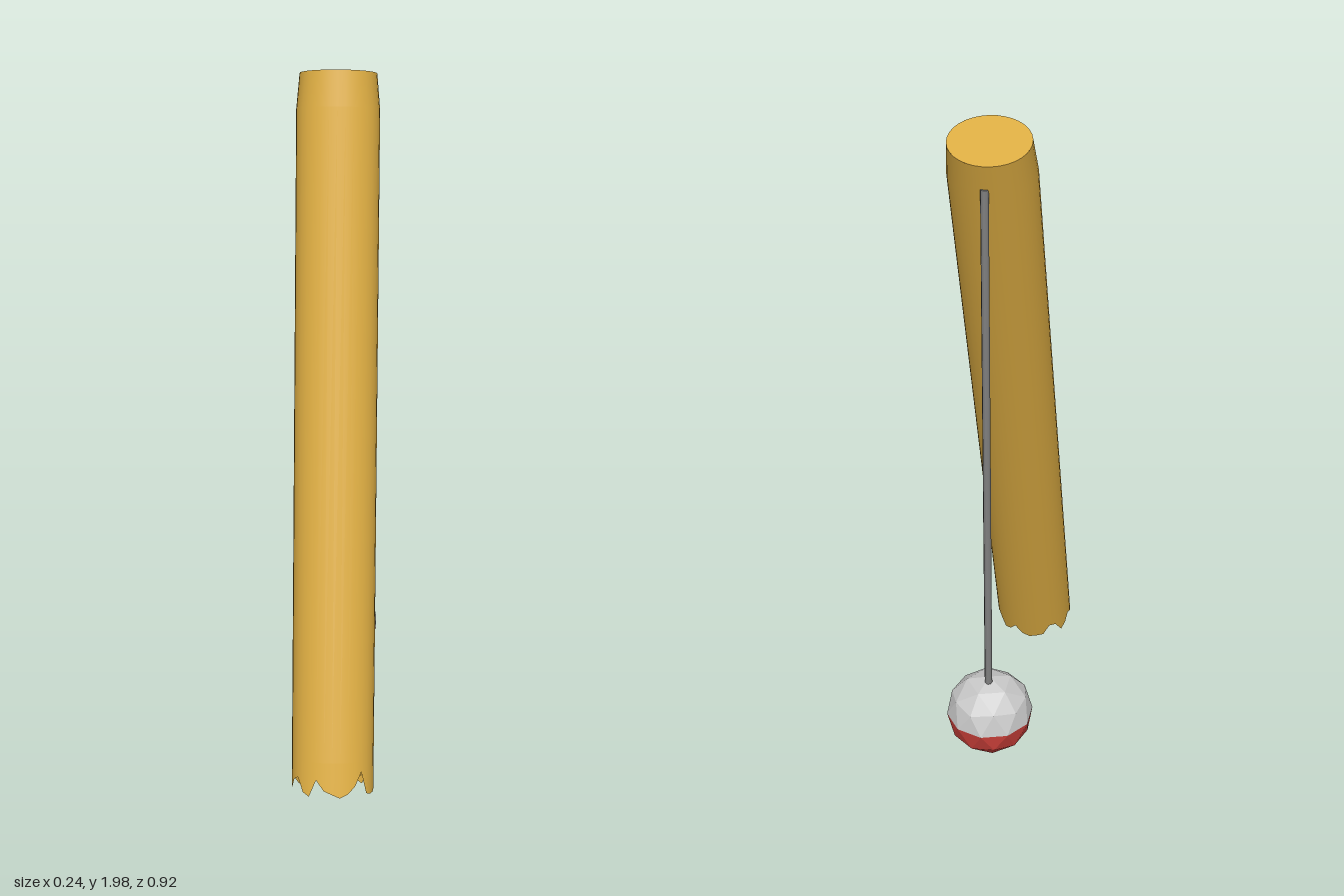
import * as THREE from 'three';

const SIDES = 32, LENGTH = 2.03, LEAN = -0.328;
// height of the splintered lower edge, going round from the front towards +x
const JAG = [0.01, 0, 0.01, 0.03, 0.07, 0.005, 0, 0, 0.005, 0.01, 0.045, 0.03, 0, 0.01, 0.04, 0.01,
  0, 0.005, 0.01, 0.05, 0.045, 0, 0.02, 0.05, 0.03, 0.01, 0.04, 0.05, 0.01, 0, 0.05, 0.02];

export function createModel() {
  const wood = new THREE.MeshStandardMaterial({ color: 0xdcac42 });
  const woodOpen = wood;
  woodOpen.side = THREE.DoubleSide;
  wood.name = 'wood';
  const make = (color, name) => {
    const m = new THREE.MeshStandardMaterial({ color });
    m.name = name;
    return m;
  };
  const cord = make(0x808080, 'cord grey');
  const pale = make(0xcacaca, 'pale grey');
  const red = make(0xcc403a, 'red');
  pale.flatShading = red.flatShading = true;

  const model = new THREE.Group();
  const add = (parent, name, geometry, material, x = 0, y = 0, z = 0) => {
    const mesh = new THREE.Mesh(geometry, material);
    mesh.name = name;
    mesh.position.set(x, y, z);
    parent.add(mesh);
    return mesh;
  };

  // leaning oval pole
  const pole = new THREE.Group();
  pole.name = 'pole';
  pole.position.set(0, 0.045, 0.3675);
  pole.rotation.x = LEAN;
  model.add(pole);

  // shaft wall: slightly narrowed top, broken lower rim
  const shaft = new THREE.CylinderGeometry(1, 1, 1, SIDES, 3, true).scale(0.117, 1, 0.097);
  const p = shaft.attributes.position;
  for (let i = 0; i < p.count; i++) {
    const row = Math.floor(i / (SIDES + 1));
    const col = (i % (SIDES + 1)) % SIDES;
    p.setY(i, [LENGTH, LENGTH - 0.1, 0.1, JAG[col]][row]);
    if (row === 0) {
      p.setX(i, p.getX(i) * 0.925);
      p.setZ(i, p.getZ(i) * 0.985);
    }
  }
  add(pole, 'shaft', shaft, woodOpen);

  // flat end on top and recessed end inside the broken rim
  const disc = (rx, rz, up) => new THREE.CircleGeometry(1, SIDES)
    .rotateX(up ? -Math.PI / 2 : Math.PI / 2).scale(rx, 1, rz);
  add(pole, 'topEnd', disc(0.1082, 0.0955, true), wood, 0, LENGTH, 0);
  add(pole, 'brokenEnd', disc(0.116, 0.096, false), wood, 0, 0.06, 0);

  // hanging line
  add(model, 'line', new THREE.CylinderGeometry(0.011, 0.011, 1.56, 8), cord, 0, 1.085, -0.35);

  // faceted float with a vertex on top, so its faces split cleanly at the equator
  const ball = new THREE.IcosahedronGeometry(0.125, 1)
    .rotateX(-Math.atan((1 + Math.sqrt(5)) / 2)).rotateY(Math.PI / 2);
  const b = ball.attributes.position;
  for (let i = 0; i < b.count; i += 3) {
    const lower = b.getY(i) + b.getY(i + 1) + b.getY(i + 2) < 0;
    ball.addGroup(i, 3, lower ? 1 : 0);
  }
  add(model, 'float', ball, [pale, red], 0, 0.205, -0.335);

  return model;
}
